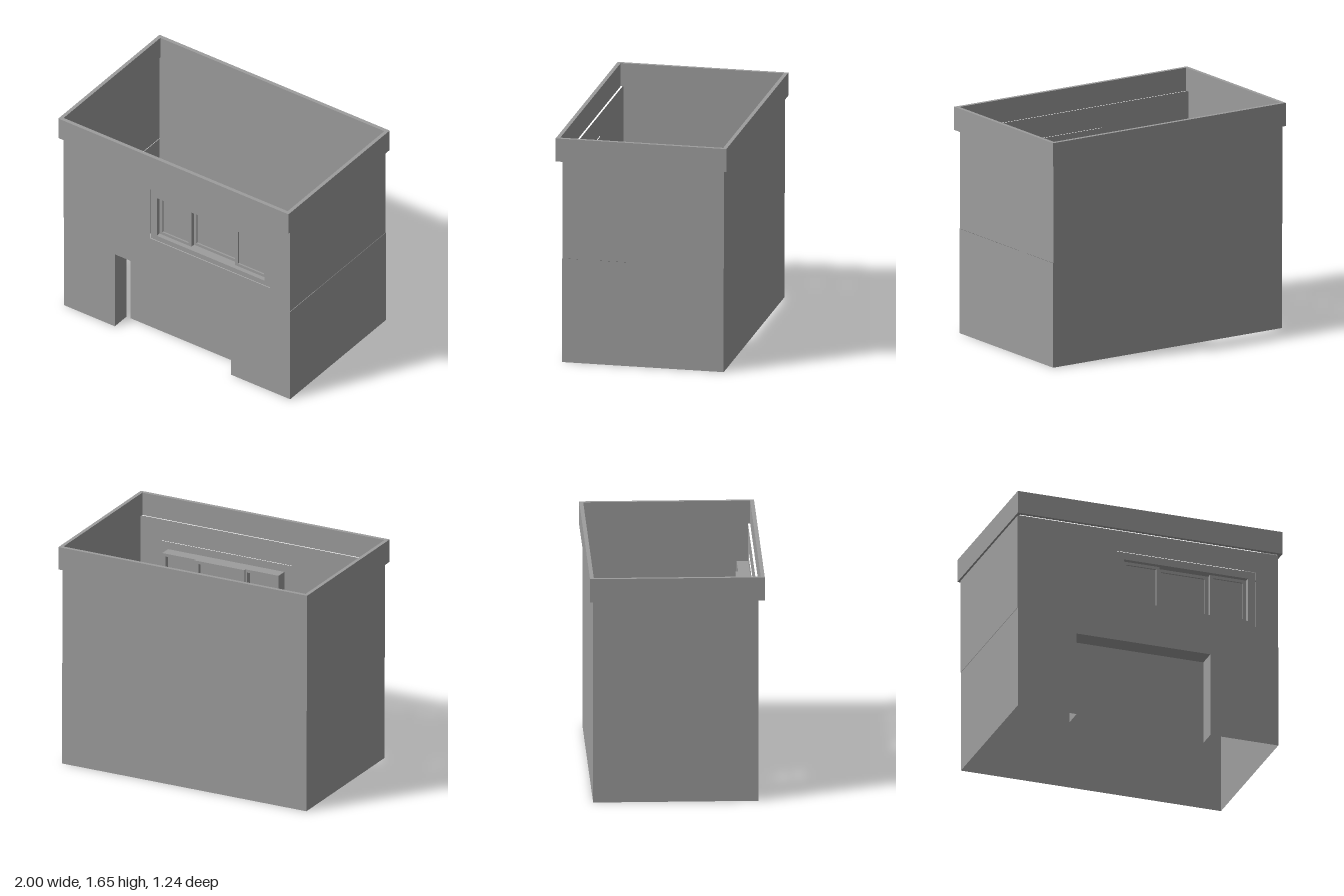
import * as THREE from 'three';

const material = new THREE.MeshStandardMaterial({ color: 0x9d9d9d, side: THREE.DoubleSide, flatShading: true });
const FRONT = 0.576, BACK = -0.597, SPLIT = 0.765, TOP = 1.485;

function add(parent, name, geometry, x = 0, y = 0, z = 0) {
  const mesh = new THREE.Mesh(geometry, material);
  mesh.name = name;
  mesh.position.set(x, y, z);
  parent.add(mesh);
  return mesh;
}

// Closed rectangle outline, usable as a shape or a hole
function rect(Type, x0, x1, y0, y1) {
  return new Type([[x0, y0], [x1, y0], [x1, y1], [x0, y1]].map(p => new THREE.Vector2(...p)));
}

function ring(outer, inner) {
  const shape = rect(THREE.Shape, ...outer);
  shape.holes.push(rect(THREE.Path, ...inner));
  return shape;
}

const extrude = (shape, depth) => new THREE.ExtrudeGeometry(shape, { depth, bevelEnabled: false });

// Upright thin sheet running along z at a given x
function sideSheet(parent, name, x, y0, y1, z0, z1) {
  add(parent, name, new THREE.PlaneGeometry(z1 - z0, y1 - y0), x, (y0 + y1) / 2, (z0 + z1) / 2)
    .rotation.y = Math.sign(x) * Math.PI / 2;
}

// Level thin sheet
function levelSheet(parent, name, x0, x1, y, z0, z1) {
  add(parent, name, new THREE.PlaneGeometry(x1 - x0, z1 - z0), (x0 + x1) / 2, y, (z0 + z1) / 2)
    .rotation.x = -Math.PI / 2;
}

// Side and back walls of one storey
function storeyShell(parent, x0, x1, y0, y1) {
  for (const x of [x0, x1]) sideSheet(parent, 'sideWall', x, y0, y1, BACK, FRONT);
  add(parent, 'backWall', new THREE.PlaneGeometry(x1 - x0, y1 - y0), (x0 + x1) / 2, (y0 + y1) / 2, BACK)
    .rotation.y = Math.PI;
}

// Framed window light with a recessed pane; stile is the width of the upright frame members
function sash(parent, x0, x1, y0, y1, zBack, zFront, stile) {
  const g = new THREE.Group();
  g.name = 'windowSash';
  const inner = [x0 + stile, x1 - stile, y0 + 0.022, y1 - 0.022];
  add(g, 'sashFrame', extrude(ring([x0, x1, y0, y1], inner), zFront - zBack), 0, 0, zBack);
  add(g, 'pane', new THREE.ShapeGeometry(rect(THREE.Shape, ...inner)), 0, 0, zFront - 0.012);
  parent.add(g);
}

export function createModel() {
  const model = new THREE.Group();
  model.name = 'building';

  // Lower storey, with the doorway cut from the front
  const lower = new THREE.Group();
  lower.name = 'lowerStorey';
  model.add(lower);
  const l0 = -0.982, l1 = 0.983, d0 = -0.54, d1 = 0.47, dTop = 0.63;
  storeyShell(lower, l0, l1, 0, SPLIT);
  const lowerFront = new THREE.Shape([
    [l0, 0], [d0, 0], [d0, dTop], [d1, dTop], [d1, 0], [l1, 0], [l1, SPLIT], [l0, SPLIT],
  ].map(p => new THREE.Vector2(...p)));
  add(lower, 'frontWall', new THREE.ShapeGeometry(lowerFront), 0, 0, FRONT);

  // Doorway recess and garage door, shifted sideways to leave a narrow gap
  const dz = 0.432;
  for (const x of [d0, d1]) sideSheet(lower, 'doorJamb', x, 0, dTop, dz, FRONT);
  levelSheet(lower, 'doorSoffit', d0, d1, dTop, dz, FRONT);
  add(lower, 'garageDoor', new THREE.ShapeGeometry(rect(THREE.Shape, -0.508, 0.503, 0, dTop)), 0, 0, dz);

  // Upper storey, offset a little to the side
  const upper = new THREE.Group();
  upper.name = 'upperStorey';
  model.add(upper);
  const u0 = -0.985, u1 = 0.98;
  storeyShell(upper, u0, u1, SPLIT, TOP);
  const trim = [-0.236, 0.81, 0.9, 1.325], opening = [-0.18, 0.755, 0.94, 1.27];
  add(upper, 'frontWall', new THREE.ShapeGeometry(ring([u0, u1, SPLIT, TOP], trim)), 0, 0, FRONT);

  // Slightly sunken window surround, reveal and three sashes, the middle one set back
  const win = new THREE.Group();
  win.name = 'window';
  model.add(win);
  const [x0, x1, y0, y1] = opening, back = 0.488, face = FRONT - 0.006;
  add(win, 'windowSurround', new THREE.ShapeGeometry(ring(trim, opening)), 0, 0, face);
  for (const x of [x0, x1]) sideSheet(win, 'windowReveal', x, y0, y1, back, face);
  for (const y of [y0, y1]) levelSheet(win, 'windowReveal', x0, x1, y, back, face);
  const s0 = y0 + 0.003, s1 = y1 - 0.002;
  sash(win, x0 + 0.003, 0.1, s0, s1, back, 0.54, 0.025);
  sash(win, 0.087, 0.49, s0, s1, 0.47, 0.508, 0.034);
  sash(win, 0.48, x1 - 0.001, s0, s1, back, 0.54, 0.023);

  // Parapet band around the open roof
  const parapet = extrude(ring([-1, 1, -0.62, 0.62], [-0.973, 0.973, -0.592, 0.592]), 0.17);
  parapet.rotateX(-Math.PI / 2);
  add(model, 'parapet', parapet, 0, 1.482, 0);

  return model;
}
